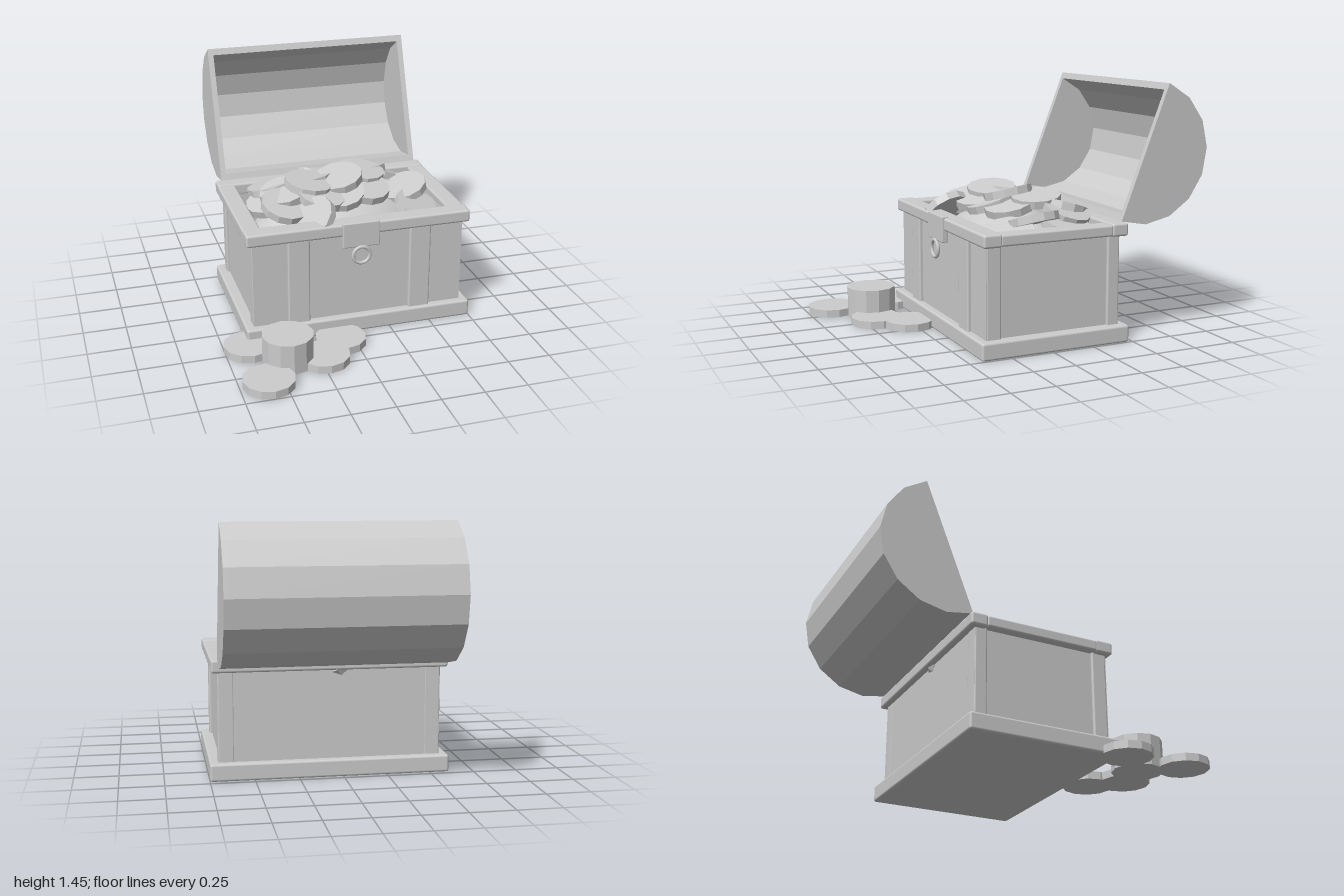
import * as THREE from 'three';
import { RoundedBoxGeometry } from 'three/addons/geometries/RoundedBoxGeometry.js';

export function createModel() {
  const model = new THREE.Group();
  model.name = 'treasureChest';
  const grey = new THREE.MeshStandardMaterial({ color: 0xcccccc });
  grey.name = 'lightGrey';
  const CX = 0.07; // centre line of the chest

  const add = (name, geometry, parent = model) => {
    const mesh = new THREE.Mesh(geometry, grey);
    mesh.name = name;
    parent.add(mesh);
    return mesh;
  };
  // Box given by its limits, with rounded edges when r > 0
  const block = (name, x0, x1, y0, y1, z0, z1, r = 0) => {
    const size = [x1 - x0, y1 - y0, z1 - z0];
    const geo = r ? new RoundedBoxGeometry(...size, 2, r) : new THREE.BoxGeometry(...size);
    return add(name, geo).position.set((x0 + x1) / 2, (y0 + y1) / 2, (z0 + z1) / 2);
  };

  // Base and walls
  block('base', CX - 0.68, CX + 0.68, 0, 0.1, -0.477, 0.428, 0.014);
  block('frontWall', CX - 0.63, CX + 0.63, 0.09, 0.63, 0.32, 0.385);
  block('backWall', CX - 0.63, CX + 0.63, 0.09, 0.63, -0.43, -0.37);

  // Sides, corner posts and front straps
  for (const s of [-1, 1]) {
    const mid = CX + s * 0.587;
    block('sideWall', mid - 0.03, mid + 0.03, 0.09, 0.63, -0.4, 0.35);
    for (const [z0, z1] of [[0.295, 0.383], [-0.432, -0.357]]) {
      block('cornerPost', mid - 0.046, mid + 0.046, 0.09, 0.63, z0, z1, 0.01);
    }
    const strap = CX + s * 0.365;
    block('frontStrap', strap - 0.065, strap + 0.065, 0.09, 0.63, 0.37, 0.406, 0.01);
    block('sideRim', CX + s * 0.615 - 0.053, CX + s * 0.615 + 0.053, 0.612, 0.676, -0.372, 0.312, 0.012);
  }
  block('frontRim', CX - 0.668, CX + 0.668, 0.608, 0.682, 0.302, 0.412, 0.014);
  block('backRim', CX - 0.668, CX + 0.668, 0.608, 0.682, -0.468, -0.368, 0.014);

  // Clasp plate and ring
  block('claspPlate', CX - 0.11, CX + 0.11, 0.54, 0.69, 0.385, 0.424, 0.006);
  add('claspRing', new THREE.TorusGeometry(0.05, 0.0105, 8, 24)).position.set(CX, 0.49, 0.424);

  // Open lid: half-round shell leaning back, closed by two half-disc ends
  const arc = (r) => Array.from({ length: 9 }, (_, i) => {
    const a = (i / 8) * Math.PI, u = r * Math.cos(a), n = r * Math.sin(a);
    return new THREE.Vector2(0.59 + 0.36 * u + 0.932 * n, 1.065 + 0.932 * u - 0.36 * n);
  });
  const lid = new THREE.Group();
  lid.name = 'lid';
  model.add(lid);
  const lidPart = (name, points, x, width) => {
    const geo = new THREE.ExtrudeGeometry(new THREE.Shape(points), { depth: width, bevelEnabled: false });
    add(name, geo.rotateY(Math.PI / 2), lid).position.x = x;
  };
  lidPart('lidShell', [...arc(0.408), ...arc(0.368).reverse()], CX - 0.6, 1.2);
  lidPart('lidEnd', arc(0.408), CX - 0.633, 0.033);
  lidPart('lidEnd', arc(0.408), CX + 0.6, 0.033);

  // Coins: flat-faceted twelve-sided discs
  const coinGeo = new THREE.CylinderGeometry(0.147, 0.147, 0.045, 12).toNonIndexed();
  coinGeo.computeVertexNormals();
  const coin = (name, x, y, z, rx = 0, rz = 0) => {
    const mesh = add(name, coinGeo);
    mesh.position.set(x, y, z);
    mesh.rotation.set(rx, 0, rz);
  };

  // Loose coins on the ground and a stack of four
  for (const [x, z] of [[-0.61, 0.465], [-0.587, 0.852], [-0.085, 0.53], [-0.23, 0.69]]) {
    coin('groundCoin', x, 0.0225, z);
  }
  for (let i = 0; i < 4; i++) coin('stackCoin', -0.43, 0.0225 + i * 0.045, 0.65);

  // Smooth heap with tilted coins on top
  const heap = new THREE.SphereGeometry(1, 32, 12, 0, Math.PI * 2, 0, Math.PI / 2);
  heap.scale(0.57, 0.32, 0.36);
  add('treasureHeap', heap).position.set(CX, 0.4, -0.03);

  const pile = [
    [-0.31, 0.72, -0.18, -0.2, 0.2], [-0.35, 0.69, -0.04, 0.1, 0.35],
    [-0.29, 0.7, 0.09, 0.3, -0.15], [-0.27, 0.74, -0.02, 0.15, 0.2],
    [-0.08, 0.76, -0.16, -0.15, 0.1], [-0.07, 0.74, 0.08, 0.25, -0.15],
    [-0.12, 0.78, -0.02, 0.1, -0.15], [0.07, 0.785, -0.04, 0.15, 0.22],
    [0.05, 0.73, 0.06, 0.3, 0.1], [0.24, 0.77, -0.14, 0.1, -0.12],
    [0.22, 0.73, 0.02, 0.25, -0.1], [0.3, 0.72, -0.28, -0.3, 0.1],
    [0.39, 0.71, -0.26, -0.2, -0.35], [0.5, 0.65, -0.2, -0.15, -0.25],
    [0.47, 0.69, -0.01, 0.1, 0.3], [0.51, 0.63, 0.16, 0.25, -0.3],
    [0.02, 0.66, -0.31, -0.5, -0.65], [-0.17, 0.67, 0.26, 0.3, 0.75],
  ];
  for (const c of pile) coin('pileCoin', ...c);

  return model;
}
